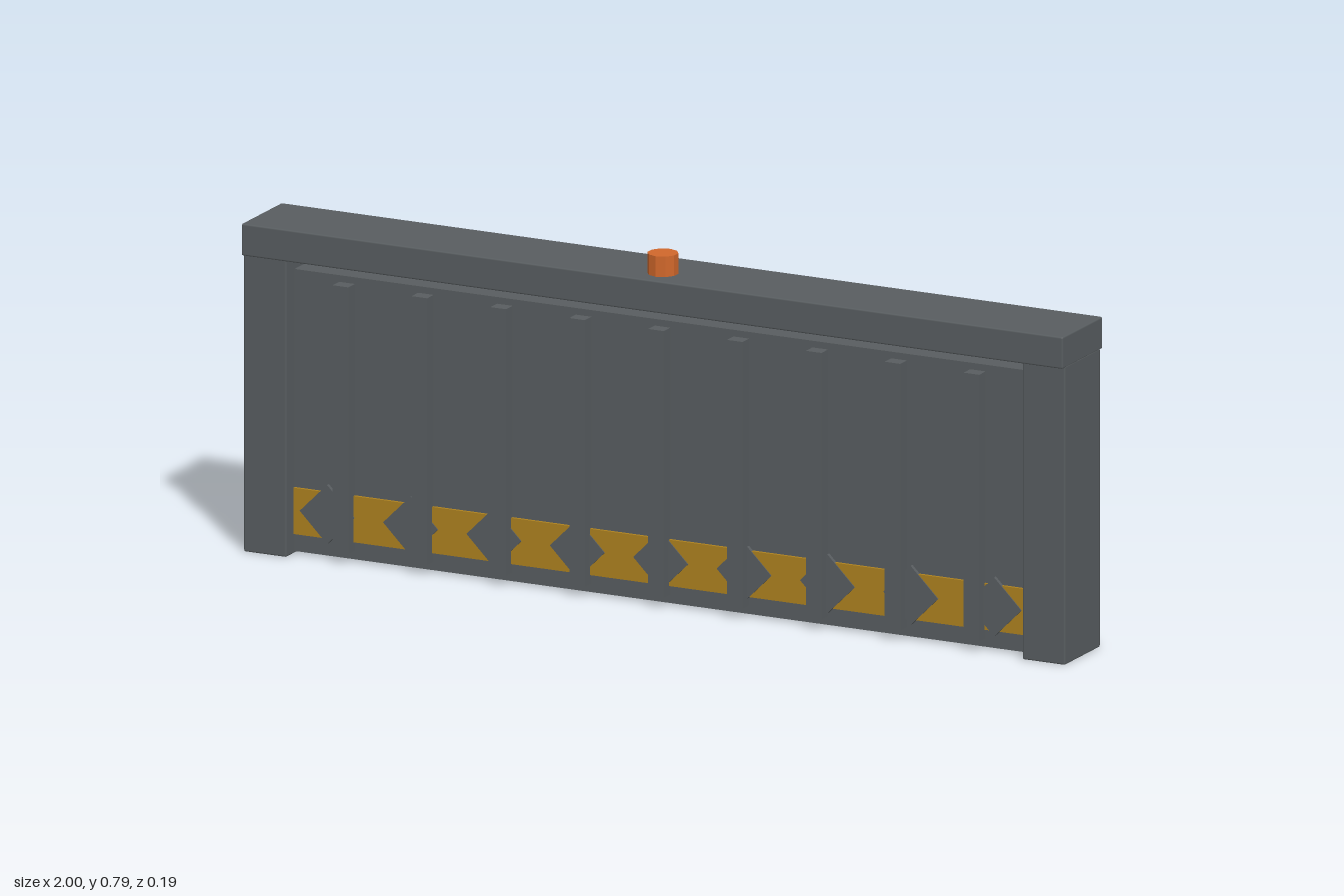
import * as THREE from 'three';
import { RoundedBoxGeometry } from 'three/addons/geometries/RoundedBoxGeometry.js';

export function createModel() {
  const model = new THREE.Group();
  model.name = 'gate';

  const steel = new THREE.MeshStandardMaterial({ color: 0x585d60 });
  steel.name = 'dark steel';
  const yellow = new THREE.MeshStandardMaterial({ color: 0xad811f });
  yellow.name = 'warning yellow';
  const orange = new THREE.MeshStandardMaterial({ color: 0xd0672b, flatShading: true });
  orange.name = 'beacon orange';

  function add(name, geometry, material, x, y, z) {
    const mesh = new THREE.Mesh(geometry, material);
    mesh.name = name;
    mesh.position.set(x, y, z);
    model.add(mesh);
    return mesh;
  }

  // Frame: two posts carrying a lintel
  for (const side of [-1, 1]) {
    add(side > 0 ? 'leftPost' : 'rightPost',
      new RoundedBoxGeometry(0.104, 0.672, 0.168, 1, 0.004), steel, side * 0.948, 0.336, 0);
  }
  add('lintel', new RoundedBoxGeometry(2, 0.072, 0.19, 1, 0.004), steel, 0, 0.704, 0);

  // Sliding door panel, leaving a slot beneath the lintel
  add('doorPanel', new THREE.BoxGeometry(1.8, 0.634, 0.09), steel, 0, 0.322, 0);

  // Warning band across the foot of the door
  add('warningBand', new THREE.BoxGeometry(1.79, 0.104, 0.008), yellow, 0, 0.097, 0.048);

  // Nine ribs, and nine diamonds that break up the band
  const ribGeometry = new THREE.BoxGeometry(0.038, 0.6, 0.032);
  const diamondGeometry = new THREE.BoxGeometry(0.094, 0.094, 0.009);
  for (let i = -4; i <= 4; i++) {
    add('rib', ribGeometry, steel, i * 0.192, 0.324, 0.06);
    add('bandDiamond', diamondGeometry, steel, i * 0.203, 0.1, 0.05).rotation.z = Math.PI / 4;
  }

  // Beacon on top
  add('beacon', new THREE.CylinderGeometry(0.034, 0.034, 0.046, 10), orange, 0, 0.767, 0.043);

  return model;
}
